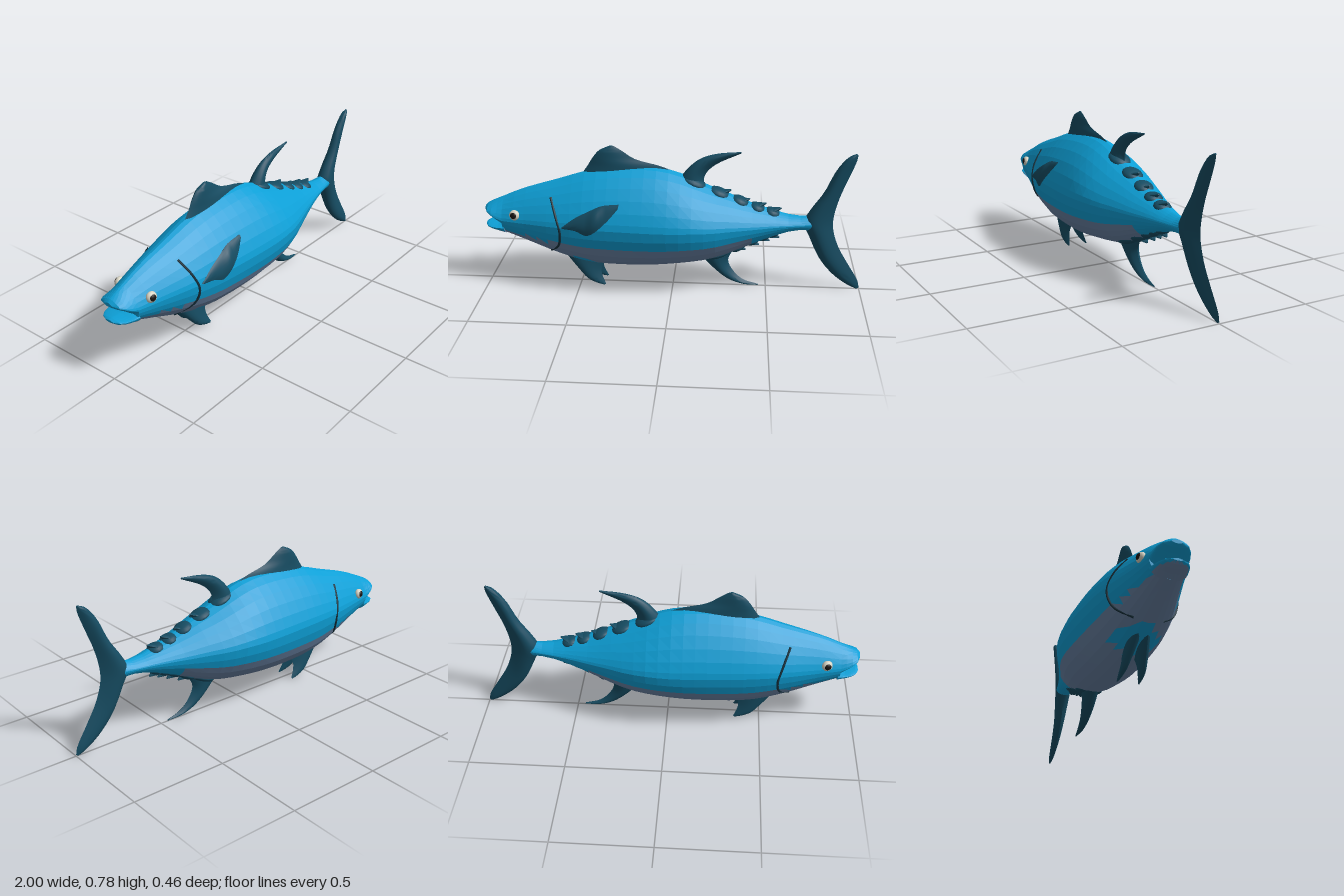
import * as THREE from 'three';
import { toCreasedNormals } from 'three/addons/utils/BufferGeometryUtils.js';

const paint = (color, flatShading = false) => new THREE.MeshStandardMaterial({ color, flatShading });
const blue = paint(0x0d9fd6, true), grey = paint(0x6a84a6, true), teal = paint(0x164c62);
const dark = paint(0x14303c), cream = paint(0xd8d4c4), black = paint(0x17120f);
const ABOVE = 1.45, BELOW = 1.9; // section roundness: peaked back, rounder belly

// Body stations: x, then top, bottom, half width, height of widest point
const STATIONS = [
  [-1, 0.44, 0.32, 0.06, 0.38], [-0.9, 0.487, 0.288, 0.096, 0.38], [-0.8, 0.53, 0.25, 0.12, 0.38],
  [-0.6, 0.593, 0.172, 0.174, 0.385], [-0.45, 0.64, 0.13, 0.202, 0.388], [-0.3, 0.664, 0.12, 0.218, 0.39],
  [-0.1, 0.668, 0.126, 0.23, 0.39], [0, 0.65, 0.137, 0.23, 0.39], [0.1, 0.612, 0.15, 0.22, 0.39],
  [0.2, 0.568, 0.168, 0.195, 0.385], [0.3, 0.53, 0.203, 0.16, 0.383], [0.4, 0.488, 0.25, 0.125, 0.38],
  [0.5, 0.455, 0.293, 0.093, 0.38], [0.6, 0.425, 0.33, 0.066, 0.38], [0.68, 0.417, 0.343, 0.05, 0.38],
  [0.76, 0.425, 0.335, 0.036, 0.38],
];
const spline = new THREE.CubicInterpolant(STATIONS.map((s) => s[0]), STATIONS.flatMap((s) => s.slice(1)), 4);
const bodyAt = (x) => [...spline.evaluate(x)];

// Half width of the body at a point of its side
function surfaceZ(x, y) {
  const [top, bottom, w, mid] = bodyAt(x);
  const p = y > mid ? ABOVE : BELOW;
  const t = Math.min(1, Math.abs(y - mid) / (y > mid ? top - mid : mid - bottom));
  return w * Math.pow(1 - Math.pow(t, p), 1 / p);
}

// One closed ring of the body or a jaw
function section(x, top, bottom, w, mid, n = 28) {
  return Array.from({ length: n }, (_, i) => {
    const a = (i / n) * Math.PI * 2, c = Math.cos(a), s = Math.sin(a);
    const r = (v) => Math.sign(v) * Math.pow(Math.abs(v), 2 / (s > 0 ? ABOVE : BELOW));
    return new THREE.Vector3(x, mid + r(s) * (s > 0 ? top - mid : mid - bottom), r(c) * w);
  });
}

// Skin over rings with closed ends; keep() selects faces by their centre
function loft(rings, keep = () => true) {
  const n = rings[0].length, pts = rings.flat(), tris = [];
  for (let i = 0; i < rings.length - 1; i++) {
    for (let j = 0; j < n; j++) {
      const a = i * n + j, b = i * n + ((j + 1) % n);
      tris.push([a, b, a + n], [b, b + n, a + n]);
    }
  }
  const last = (rings.length - 1) * n;
  for (let j = 1; j < n - 1; j++) tris.push([0, j + 1, j], [last, last + j, last + j + 1]);
  // Turn all faces outward
  const volume = tris.reduce((v, [a, b, c]) => v + pts[a].dot(pts[b].clone().cross(pts[c])), 0);
  const index = [];
  for (const [a, b, c] of tris) {
    const centre = pts[a].clone().add(pts[b]).add(pts[c]).divideScalar(3);
    if (keep(centre)) index.push(...(volume > 0 ? [a, b, c] : [a, c, b]));
  }
  const g = new THREE.BufferGeometry().setFromPoints(pts);
  g.setIndex(index);
  g.computeVertexNormals();
  return g;
}

// Lens-shaped fin between a leading and a trailing edge, thick[] is half thickness from root to tip
function finGeometry(lead, trail, thick, zAt = () => 0, steps = 16) {
  const curve = (p) => new THREE.CatmullRomCurve3(p.map(([x, y]) => new THREE.Vector3(x, y, 0)));
  const front = curve(lead), back = curve(trail), half = curve(thick.map((t) => [t, 0]));
  const rings = [], n = 8;
  for (let i = 0; i <= steps; i++) {
    const u = i / steps, a = front.getPoint(u), b = back.getPoint(u), t = half.getPoint(u).x;
    const ring = [];
    for (let j = 0; j < 2 * n; j++) {
      const side = j < n ? 1 : -1;
      const c = Math.pow(j < n ? j / n : 2 - j / n, 1.4);
      const p = a.clone().lerp(b, c);
      p.z = zAt(p.x, p.y) + side * t * Math.sin(Math.PI * Math.pow(c, 0.65));
      ring.push(p);
    }
    rings.push(ring);
  }
  return toCreasedNormals(loft(rings), 0.8);
}

export function createModel() {
  const model = new THREE.Group();
  const add = (name, geometry, material, parent = model) => {
    const m = new THREE.Mesh(geometry, material);
    m.name = name;
    parent.add(m);
    return m;
  };
  const fin = (name, ...args) => add(name, finGeometry(...args), teal);

  // Body and jaws, each split into a blue back and a grey belly, with a blue patch under the throat
  const isThroat = (p) => p.x > -0.7 && p.x < -0.42 && p.y < 0.19;
  const isBelly = (p) => p.x < 0.42 && p.y < 0.285 + 0.1 * Math.max(0, p.x, -p.x - 0.6) && !isThroat(p);
  const skin = (name, rings) => {
    add(name + 'Back', loft(rings, (p) => !isBelly(p)), blue);
    add(name + 'Belly', loft(rings, isBelly), grey);
  };
  const trunk = [];
  for (let i = 0; i <= 26; i++) {
    const x = -0.9 + (i / 26) * 1.63;
    trunk.push(section(x, ...bodyAt(x)));
  }
  skin('body', trunk);
  skin('upperJaw', [
    [-0.9, 0.487, 0.335, 0.096, 0.38], [-0.93, 0.474, 0.362, 0.09, 0.39], [-0.96, 0.46, 0.385, 0.081, 0.405],
    [-0.985, 0.447, 0.402, 0.062, 0.417], [-1, 0.434, 0.414, 0.026, 0.424],
  ].map((s) => section(...s)));
  skin('lowerJaw', [
    [-0.89, 0.35, 0.285, 0.092, 0.335], [-0.93, 0.343, 0.3, 0.084, 0.333], [-0.96, 0.344, 0.308, 0.074, 0.333],
    [-0.985, 0.344, 0.317, 0.056, 0.334], [-1, 0.34, 0.328, 0.024, 0.334],
  ].map((s) => section(...s)));

  // Fins along the back and under the tail
  fin('firstDorsalFin',
    [[-0.48, 0.62], [-0.445, 0.67], [-0.42, 0.71], [-0.385, 0.752], [-0.33, 0.779]],
    [[0.06, 0.62], [-0.06, 0.672], [-0.2, 0.71], [-0.265, 0.752], [-0.305, 0.777]],
    [0.034, 0.027, 0.023, 0.018, 0.005]);
  fin('secondDorsalFin',
    [[0.02, 0.59], [0.08, 0.67], [0.14, 0.72], [0.22, 0.748], [0.35, 0.762]],
    [[0.2, 0.53], [0.16, 0.595], [0.17, 0.64], [0.22, 0.69], [0.35, 0.754]],
    [0.045, 0.034, 0.024, 0.016, 0.004]);
  fin('analFin',
    [[0.14, 0.18], [0.23, 0.09], [0.3, 0.037], [0.38, 0.01], [0.46, 0.004]],
    [[0.33, 0.225], [0.296, 0.15], [0.325, 0.085], [0.38, 0.035], [0.455, 0.012]],
    [0.045, 0.034, 0.024, 0.016, 0.004]);
  fin('tailFin',
    [[0.985, 0.002], [0.945, 0.02], [0.86, 0.08], [0.78, 0.175], [0.715, 0.31], [0.685, 0.38],
      [0.715, 0.45], [0.78, 0.55], [0.84, 0.68], [0.895, 0.748], [0.93, 0.765]],
    [[1, 0.008], [0.99, 0.05], [0.93, 0.15], [0.875, 0.245], [0.845, 0.33], [0.838, 0.385],
      [0.845, 0.45], [0.868, 0.54], [0.905, 0.64], [0.936, 0.73], [0.94, 0.76]],
    [0.004, 0.012, 0.02, 0.027, 0.038, 0.043, 0.038, 0.029, 0.023, 0.016, 0.005], undefined, 32);

  // Finlets: short, swept-back hooks above and below the tail stalk
  const finlet = (name, x, y, d) => fin(name,
    [[x - 0.12, y - 0.045 * d], [x - 0.07, y - 0.012 * d], [x, y]],
    [[x - 0.01, y - 0.07 * d], [x - 0.018, y - 0.03 * d], [x + 0.004, y - 0.005 * d]],
    [0.05, 0.04, 0.004], undefined, 6);
  [[0.3, 0.556], [0.4, 0.51], [0.485, 0.487], [0.565, 0.462]].forEach(([x, y]) => finlet('upperFinlet', x, y, 1));
  [[0.385, 0.212], [0.455, 0.243], [0.51, 0.268], [0.56, 0.288]].forEach(([x, y]) => finlet('lowerFinlet', x, y, -1));

  // Rounded fin bases draped over the ridge: x, half length, half width
  const base = (name, edge, d, x, length, width) => {
    const y = bodyAt(x)[edge], slope = (bodyAt(x + 0.02)[edge] - bodyAt(x - 0.02)[edge]) / 0.04;
    const m = add(name, new THREE.SphereGeometry(1, 16, 10), teal);
    m.scale.set(length, 0.026, width);
    m.position.set(x, y - 0.017 * d, 0);
    m.rotation.z = Math.atan(slope);
  };
  [[0.11, 0.07, 0.055], [0.24, 0.06, 0.053], [0.35, 0.052, 0.05], [0.44, 0.045, 0.048], [0.52, 0.045, 0.045]]
    .forEach((b) => base('upperFinBase', 0, 1, ...b));
  [[0.24, 0.08, 0.072], [0.345, 0.052, 0.065], [0.42, 0.042, 0.055], [0.48, 0.036, 0.048], [0.53, 0.036, 0.042]]
    .forEach((b) => base('lowerFinBase', 1, -1, ...b));

  // Pectoral fin lying against the left flank
  fin('pectoralFin',
    [[-0.565, 0.39], [-0.5, 0.44], [-0.42, 0.482], [-0.355, 0.51], [-0.265, 0.522]],
    [[-0.555, 0.385], [-0.49, 0.38], [-0.43, 0.358], [-0.34, 0.425], [-0.27, 0.5]],
    [0.003, 0.006, 0.008, 0.008, 0.006], (x, y) => surfaceZ(x, y) + 0.003);

  for (const side of [1, -1]) {
    // Pelvic fins, splayed outward toward the tips
    fin('pelvicFin',
      [[-0.59, 0.185], [-0.51, 0.09], [-0.46, 0.037], [-0.41, 0.013], [-0.37, 0.003]],
      [[-0.36, 0.15], [-0.385, 0.09], [-0.38, 0.055], [-0.37, 0.03], [-0.36, 0.008]],
      [0.028, 0.021, 0.016, 0.01, 0.003], (x, y) => side * (0.055 - 0.18 * y));

    // Gill slit
    const slit = [[-0.63, 0.52], [-0.597, 0.44], [-0.575, 0.36], [-0.587, 0.28], [-0.645, 0.21]]
      .map(([x, y]) => new THREE.Vector3(x, y, side * surfaceZ(x, y)));
    add('gillSlit', new THREE.TubeGeometry(new THREE.CatmullRomCurve3(slit), 24, 0.0065, 6), dark);

    // Eye
    const eye = new THREE.Group();
    eye.name = 'eye';
    eye.position.set(-0.826, 0.418, side * (surfaceZ(-0.826, 0.418) + 0.002));
    eye.rotation.set(-0.15 * side, -0.2 * side, 0);
    model.add(eye);
    add('eyeball', new THREE.SphereGeometry(0.028, 20, 14), cream, eye).scale.z = 0.7;
    const pupil = add('pupil', new THREE.SphereGeometry(0.018, 16, 12), black, eye);
    pupil.scale.z = 0.6;
    pupil.position.z = side * 0.012;
  }
  return model;
}
